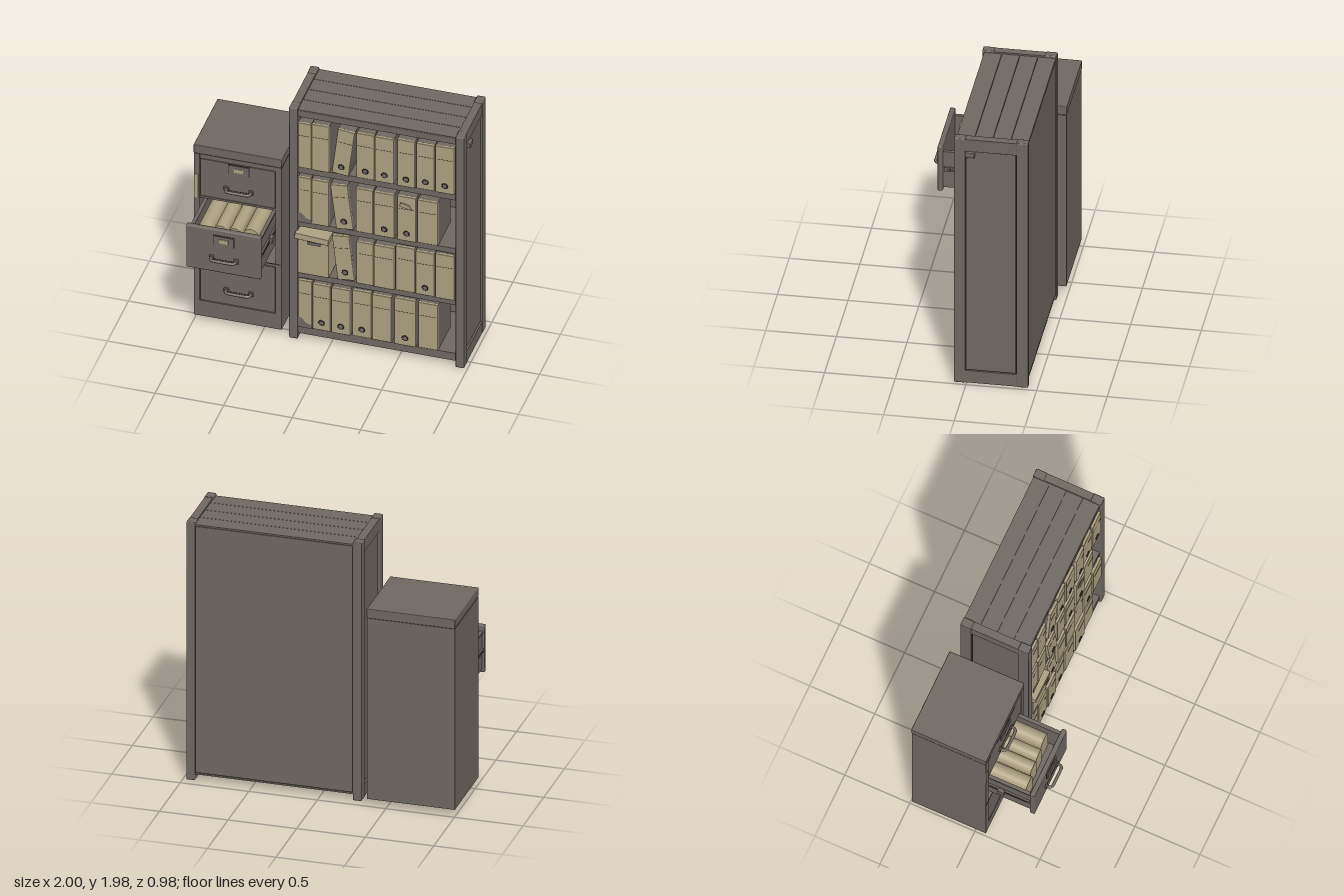
import * as THREE from 'three';
import { RoundedBoxGeometry } from 'three/addons/geometries/RoundedBoxGeometry.js';

export function createModel() {
  const mat = (name, color) => {
    const m = new THREE.MeshStandardMaterial({ color });
    m.name = name;
    return m;
  };
  const metal = mat('grey metal', 0x6f6862);
  const paper = mat('aged paper', 0xaea282);
  const dark = mat('dark seam', 0x2e2a28);

  const add = (parent, name, geo, m, x = 0, y = 0, z = 0) => {
    const mesh = new THREE.Mesh(geo, m);
    mesh.name = name;
    mesh.position.set(x, y, z);
    parent.add(mesh);
    return mesh;
  };
  const group = (parent, name) => {
    const g = new THREE.Group();
    g.name = name;
    parent.add(g);
    return g;
  };
  // Box given by its limits; r > 0 softens the edges
  const box = (parent, name, m, x0, x1, y0, y1, z0, z1, r = 0) => {
    const s = [x1 - x0, y1 - y0, z1 - z0];
    const geo = r ? new RoundedBoxGeometry(...s, 1, r) : new THREE.BoxGeometry(...s);
    return add(parent, name, geo, m, (x0 + x1) / 2, (y0 + y1) / 2, (z0 + z1) / 2);
  };

  const root = new THREE.Group();
  root.name = 'officeStorage';

  // ---------- Filing cabinet ----------
  const cabinet = group(root, 'filingCabinet');
  box(cabinet, 'cabinetTop', metal, -1, -0.355, 1.44, 1.51, -0.49, 0.085, 0.006);
  box(cabinet, 'topSeam', dark, -0.994, -0.361, 1.434, 1.441, -0.482, 0.082);
  box(cabinet, 'cabinetBase', metal, -0.998, -0.357, 0.05, 0.18, -0.485, 0.083);
  box(cabinet, 'cabinetBack', metal, -0.99, -0.365, 0.18, 1.436, -0.485, -0.455);
  for (const [x0, x1] of [[-0.998, -0.955], [-0.4, -0.357]])
    box(cabinet, 'cabinetSide', metal, x0, x1, 0.18, 1.436, -0.485, 0.083);
  for (const [y0, y1] of [[0.58, 0.605], [1.062, 1.078], [1.4, 1.436]])
    box(cabinet, 'crossRail', metal, -0.955, -0.4, y0, y1, -0.455, 0.08);
  for (const [y0, y1] of [[0.18, 0.58], [1.078, 1.4]])
    box(cabinet, 'drawerGap', dark, -0.955, -0.4, y0, y1, -0.45, 0.06);
  box(cabinet, 'railSeam', dark, -0.995, -0.36, 0.6, 0.605, 0.08, 0.0845);
  box(cabinet, 'paperStain', paper, -0.996, -0.965, 1.06, 1.26, 0.08, 0.086);

  // Label holder and bar handle, placed on a drawer front at depth z
  const fittings = (parent, labelY, handleY, z, hasLabel) => {
    const cx = -0.67;
    box(parent, 'labelPlate', dark, cx - 0.078, cx + 0.078, labelY - 0.042, labelY + 0.042, z, z + 0.003);
    box(parent, 'labelHolder', metal, cx - 0.073, cx + 0.073, labelY - 0.038, labelY + 0.038, z, z + 0.008);
    if (hasLabel) box(parent, 'label', paper, cx - 0.032, cx + 0.034, labelY - 0.017, labelY + 0.015, z + 0.005, z + 0.011);
    const path = new THREE.CatmullRomCurve3([
      [-0.09, 0], [-0.09, 0.03], [-0.07, 0.046], [0.07, 0.046], [0.09, 0.03], [0.09, 0],
    ].map(([x, d]) => new THREE.Vector3(cx + x, handleY, z + d)), false, 'catmullrom', 0.2);
    add(parent, 'handle', new THREE.TubeGeometry(path, 24, 0.011, 8), metal);
    for (const s of [-1, 1]) {
      box(parent, 'handleFoot', metal, cx + s * 0.09 - 0.018, cx + s * 0.09 + 0.018, handleY - 0.02, handleY + 0.02, z, z + 0.012, 0.005);
    }
    box(parent, 'handleShadowLine', dark, cx - 0.075, cx + 0.075, handleY - 0.016, handleY - 0.012, z, z + 0.002);
  };

  // Closed drawers
  const upper = group(cabinet, 'upperDrawer');
  box(upper, 'upperFront', metal, -0.949, -0.406, 1.082, 1.395, 0.02, 0.08);
  fittings(upper, 1.35, 1.18, 0.08, true);
  const lower = group(cabinet, 'lowerDrawer');
  box(lower, 'lowerFront', metal, -0.949, -0.406, 0.186, 0.574, 0.02, 0.08);
  fittings(lower, 0.485, 0.31, 0.08, false);

  // Open drawer with tray, runners and folders
  const open = group(cabinet, 'openDrawer');
  box(open, 'openFront', metal, -0.948, -0.402, 0.71, 1.07, 0.396, 0.434, 0.008);
  fittings(open, 0.985, 0.835, 0.434, true);
  box(open, 'trayFloor', metal, -0.93, -0.42, 0.735, 0.755, -0.4, 0.4);
  box(open, 'trayBack', metal, -0.93, -0.42, 0.735, 1.02, -0.42, -0.4);
  for (const s of [-1, 1]) {
    const c = -0.675, at = (a, b) => (s < 0 ? [c - b, c - a] : [c + a, c + b]);
    box(open, 'traySide', metal, ...at(0.238, 0.255), 0.735, 1.02, -0.4, 0.4);
    box(open, 'trayRim', metal, ...at(0.236, 0.262), 1.01, 1.026, -0.4, 0.4);
    box(open, 'runner', metal, ...at(0.255, 0.268), 0.868, 0.9, -0.3, 0.39);
    box(open, 'runnerGroove', dark, ...at(0.268, 0.27), 0.88, 0.887, 0.09, 0.37);
    box(open, 'runnerStop', metal, ...at(0.262, 0.288), 0.86, 0.91, 0.15, 0.205, 0.005);
  }
  for (const [x0, x1, z1, top] of [
    [-0.9, -0.785, 0.345, 1.02], [-0.778, -0.68, 0.325, 1.03], [-0.672, -0.58, 0.32, 1.025], [-0.568, -0.455, 0.31, 1.035],
  ]) {
    // Folder with a rounded upper spine
    const r = (x1 - x0) / 2;
    const s = new THREE.Shape();
    s.moveTo(x0, 0.757);
    s.lineTo(x1, 0.757);
    s.lineTo(x1, top - r);
    s.absarc(x0 + r, top - r, r, 0, Math.PI, false);
    s.closePath();
    const geo = new THREE.ExtrudeGeometry(s, { depth: z1 + 0.3, bevelEnabled: false, curveSegments: 8 });
    add(open, 'folder', geo, paper, 0, 0, -0.3);
  }

  // ---------- Bookcase ----------
  const bookcase = group(root, 'bookcase');
  for (const [x0, x1, s] of [[-0.302, -0.238, -1], [0.913, 0.977, 1]]) {
    const side = group(bookcase, s < 0 ? 'rightSide' : 'leftSide');
    box(side, 'frontPost', metal, x0, x1, 0, 1.98, 0.008, 0.09, 0.007);
    box(side, 'backPost', metal, x0, x1, 0, 1.98, -0.435, -0.352, 0.007);
    box(side, 'topRail', metal, x0 + 0.003, x1 - 0.003, 1.88, 1.975, -0.36, 0.015);
    box(side, 'bottomRail', metal, x0 + 0.003, x1 - 0.003, 0.004, 0.1, -0.36, 0.015);
    box(side, 'panelSeam', dark, x0 + 0.018, x1 - 0.018, 0.1, 1.88, -0.352, 0.008);
    box(side, 'sidePanel', metal, x0 + 0.014, x1 - 0.014, 0.107, 1.873, -0.346, 0.002);
  }
  box(bookcase, 'sideClip', metal, 0.965, 0.998, 1.84, 1.88, -0.06, 0.008, 0.006);

  box(bookcase, 'backSeam', dark, -0.24, 0.915, 0.055, 1.96, -0.425, -0.405);
  box(bookcase, 'backPanel', metal, -0.232, 0.907, 0.065, 1.95, -0.431, -0.395);

  // Shelves, with a dark seam below each front edge
  for (const [y0, y1] of [[0.055, 0.11], [0.525, 0.57], [0.965, 1.01], [1.425, 1.475], [1.905, 1.955]]) {
    box(bookcase, 'shelf', metal, -0.24, 0.915, y0, y1, -0.42, 0.078);
    box(bookcase, 'shelfSeam', dark, -0.238, 0.913, y0 - 0.005, y0, -0.4, 0.07);
  }
  // Planks along the top and underside
  for (let i = 0; i < 4; i++) {
    const z0 = -0.43 + i * 0.1275;
    box(bookcase, 'topPlank', metal, -0.24, 0.915, 1.953, 1.964, z0, z0 + 0.1245);
    box(bookcase, 'underPlank', metal, -0.24, 0.915, 0.046, 0.057, z0, z0 + 0.1245);
  }

  // ---------- Binders ----------
  const holeGeo = new THREE.CylinderGeometry(0.02, 0.02, 0.004, 12).rotateX(Math.PI / 2);
  const ringGeo = new THREE.TorusGeometry(0.02, 0.004, 5, 14);
  // Each binder: left, right, height, lean angle, has finger hole
  const rows = [
    [1.476, [[-0.236, -0.14, 0.385, 0, 0], [-0.136, -0.006, 0.395, 0, 0], [0.012, 0.135, 0.385, -0.12, 1],
      [0.19, 0.32, 0.385, 0, 1], [0.326, 0.465, 0.385, 0, 1], [0.49, 0.62, 0.4, 0, 1], [0.627, 0.76, 0.39, 0, 1], [0.767, 0.906, 0.4, 0, 1]]],
    [1.011, [[-0.236, -0.14, 0.385, 0, 0], [-0.136, -0.01, 0.385, 0, 0], [0.045, 0.172, 0.375, 0.12, 1],
      [0.186, 0.312, 0.375, 0, 0], [0.318, 0.47, 0.375, 0, 1], [0.49, 0.628, 0.38, 0, 1], [0.636, 0.785, 0.37, 0, 0]]],
    [0.571, [[0.052, 0.178, 0.375, 0.11, 1], [0.19, 0.315, 0.36, 0, 0], [0.32, 0.47, 0.36, 0, 0],
      [0.476, 0.617, 0.38, 0, 0], [0.623, 0.762, 0.37, 0, 1], [0.768, 0.906, 0.38, 0, 0]]],
    [0.111, [[-0.236, -0.134, 0.4, 0, 0], [-0.129, 0.002, 0.39, 0, 1], [0.01, 0.148, 0.39, 0, 1], [0.16, 0.3, 0.395, 0, 1],
      [0.306, 0.448, 0.39, 0, 0], [0.47, 0.625, 0.4, 0, 1], [0.64, 0.785, 0.39, 0, 0]]],
  ];
  const binders = group(bookcase, 'binders');
  for (const [y, list] of rows) {
    list.forEach(([x0, x1, h, lean, hole], i) => {
      const b = group(binders, 'binder');
      const w = x1 - x0, front = 0.089 + (i % 3) * 0.004;
      b.position.set((x0 + x1) / 2, y + Math.abs(Math.sin(lean)) * w / 2, 0);
      b.rotation.z = lean;
      box(b, 'binderBody', metal, -w / 2 + 0.001, w / 2 - 0.001, 0, h - 0.003, -0.22, front - 0.02);
      box(b, 'binderSpine', paper, -w / 2, w / 2, 0.002, h, front - 0.022, front, 0.005);
      box(b, 'spineCrease', dark, -w / 2 + 0.01, w / 2 - 0.01, h * 0.72, h * 0.72 + 0.002, front - 0.002, front + 0.001);
      if (hole) {
        add(b, 'fingerHole', holeGeo, metal, 0, 0.066, front);
        add(b, 'fingerRing', ringGeo, dark, 0, 0.066, front);
      }
    });
    // Worn chip at the foot of the row
    const chip = new THREE.Shape([[0, 0], [0.11, 0], [0.1, 0.03], [0.06, 0.045], [0.03, 0.08], [0, 0.09]]
      .map(([a, c]) => new THREE.Vector2(a, c)));
    if (y === 0.111 || y === 1.011)
      add(binders, 'wornChip', new THREE.ShapeGeometry(chip), metal, -0.236, y + 0.002, 0.096);
  }

  // Archive box with a loose tilted lid
  const archive = group(bookcase, 'archiveBox');
  box(archive, 'boxBody', paper, -0.236, -0.01, 0.573, 0.885, -0.22, 0.094, 0.005);
  const lid = box(archive, 'boxLid', paper, -0.252, -0.004, 0.876, 0.925, -0.2, 0.122, 0.005);
  lid.rotation.z = -0.06;
  box(archive, 'gripEdge', dark, -0.168, -0.07, 0.832, 0.862, 0.09, 0.096);
  box(archive, 'grip', metal, -0.162, -0.076, 0.838, 0.856, 0.09, 0.098);

  // Torn paper tab sticking out of a binder
  const tab = new THREE.Shape([[0, 0], [0.09, -0.02], [0.07, 0.015], [0.01, 0.03]].map(([a, c]) => new THREE.Vector2(a, c)));
  add(bookcase, 'tornTabEdge', new THREE.ExtrudeGeometry(tab, { depth: 0.006, bevelEnabled: false }), dark, 0.506, 1.31, 0.094);
  add(bookcase, 'tornTab', new THREE.ExtrudeGeometry(tab, { depth: 0.008, bevelEnabled: false }), paper, 0.51, 1.313, 0.102);

  return root;
}
